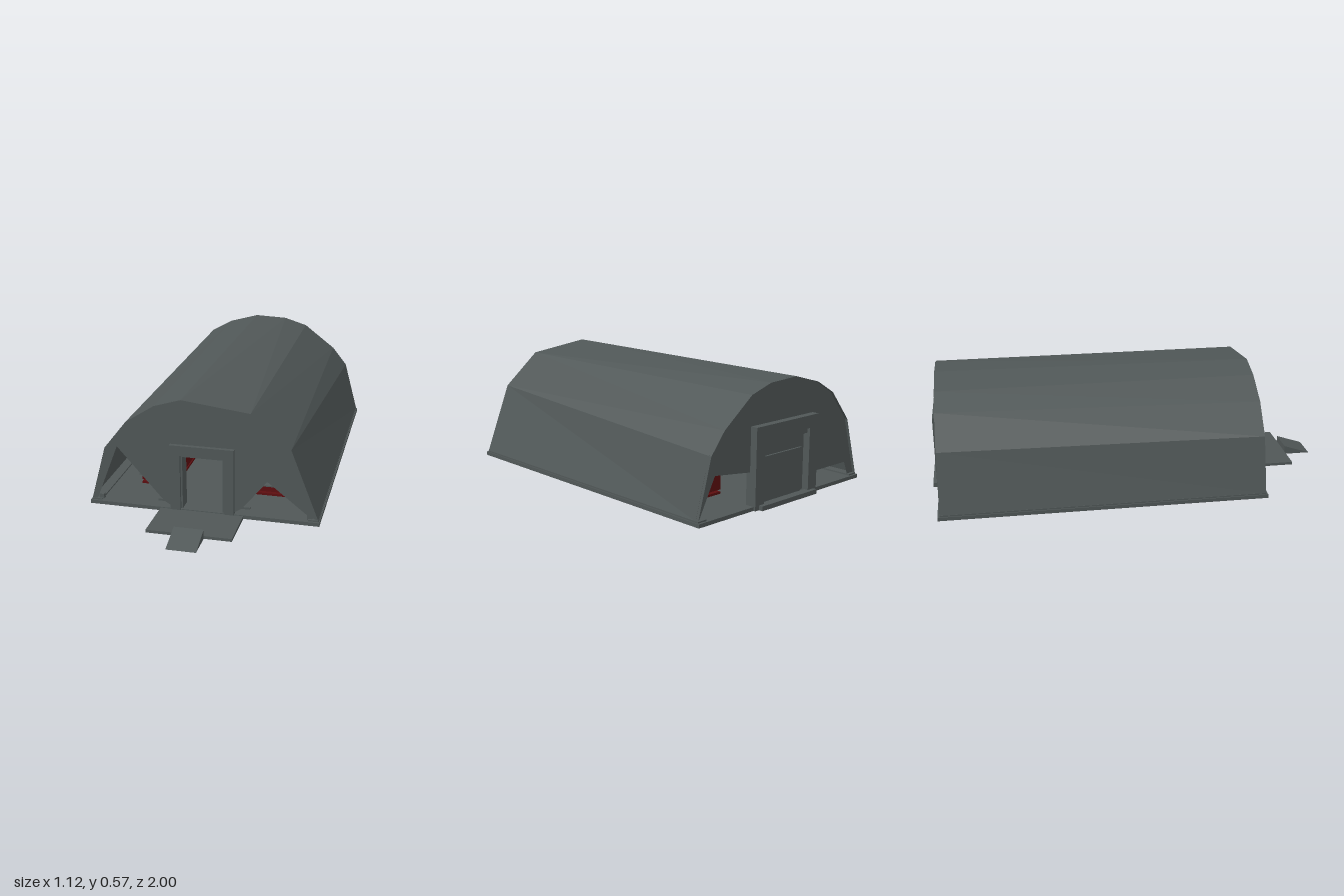
import * as THREE from 'three';

export function createModel() {
  const group = new THREE.Group();
  const mat = (name, color, extra = {}) => {
    const m = new THREE.MeshStandardMaterial({ color, ...extra });
    m.name = name;
    return m;
  };
  const grey = mat('slate grey', 0x505757, { side: THREE.DoubleSide });
  const red = mat('dark red', 0x5c0d0f);

  const add = (name, geometry, material = grey, parent = group) => {
    const mesh = new THREE.Mesh(geometry, material);
    mesh.name = name;
    parent.add(mesh);
    return mesh;
  };
  // box given by its limits on each axis
  const box = (name, x0, x1, y0, y1, z0, z1, material = grey, parent = group) => {
    const mesh = add(name, new THREE.BoxGeometry(x1 - x0, y1 - y0, z1 - z0), material, parent);
    mesh.position.set((x0 + x1) / 2, (y0 + y1) / 2, (z0 + z1) / 2);
    return mesh;
  };
  // flat wall at depth z from an outline
  const wall = (name, points, z) => {
    const shape = new THREE.Shape(points.map(([x, y]) => new THREE.Vector2(x, y)));
    add(name, new THREE.ShapeGeometry(shape)).position.z = z;
  };
  // two posts and a lintel
  const portal = (name, half, height, width, y0, z0, z1, x = 0) => {
    const g = new THREE.Group();
    g.name = name;
    group.add(g);
    for (const s of [-1, 1]) {
      const c = x + s * (half - width / 2);
      box('post', c - width / 2, c + width / 2, y0, height - width, z0, z1, grey, g);
    }
    box('lintel', x - half, x + half, height - width, height, z0, z1, grey, g);
    return g;
  };

  // faceted barrel roof, lofted between slightly different end arches
  const front = [[-.555, .02], [-.48, .295], [-.37, .435], [-.23, .525], [-.1, .565],
    [.23, .525], [.23, .525], [.42, .365], [.42, .365], [.555, .02]];
  const back = [[-.555, .02], [-.47, .31], [-.345, .46], [-.23, .525], [-.07, .57],
    [.105, .563], [.23, .525], [.4, .395], [.48, .295], [.555, .02]];
  const zFront = 0.62, zBack = -0.96;
  const verts = [];
  for (let i = 0; i < front.length - 1; i++) {
    const a = [...front[i], zFront], b = [...front[i + 1], zFront];
    const c = [...back[i + 1], zBack], d = [...back[i], zBack];
    verts.push(...a, ...b, ...c, ...a, ...c, ...d);
  }
  const roof = new THREE.BufferGeometry();
  roof.setAttribute('position', new THREE.Float32BufferAttribute(verts, 3));
  roof.computeVertexNormals();
  add('roofShell', roof);

  // end walls with slanted openings beside the doorways
  wall('frontWall', [
    ...front.filter((p, i) => i === 0 || p[0] !== front[i - 1][0]),
    [.5, .045], [.31, .195], [.19, .045], [.15, .02], [.105, .02], [.105, .29],
    [-.105, .29], [-.105, .02], [-.15, .02], [-.19, .045], [-.42, .305], [-.53, .02],
  ], 0.615);
  wall('backWall', [
    ...back, [.535, .02], [.44, .2], [.2, .17], [.2, .02], [.15, .02], [.15, .31],
    [-.15, .31], [-.15, .02], [-.2, .02], [-.2, .09], [-.48, .09], [-.51, .02],
  ], -0.945);

  // floor slab, kerbs and entrance platform
  box('floor', -.56, .56, 0, .018, -.97, .63);
  for (const s of [-1, 1]) {
    box('sideKerb', s * .53 - .025, s * .53 + .025, .018, .025, -.96, .62);
    box('frontFoot', s * .51 - .012, s * .51 + .012, .02, .045, .59, .61);
    box('frontRail', s * .195 - .03, s * .195 + .03, .036, .046, .58, .6);
  }
  box('platform', -.205, .2, 0, .014, .62, .865);
  box('backSill', -.195, .19, 0, .022, -1, -.96);

  // wedge ramp, its profile drawn along the depth axis
  const wedge = new THREE.Shape([[-1, 0], [-.865, 0], [-.865, .045]].map(p => new THREE.Vector2(...p)));
  const ramp = add('ramp', new THREE.ExtrudeGeometry(wedge, { depth: .14, bevelEnabled: false }));
  ramp.rotation.y = Math.PI / 2;
  ramp.position.x = -.07;

  // front doorway with an inner jamb
  portal('frontDoorFrame', .155, .343, .05, 0, .56, .635);
  portal('frontDoorJamb', .107, .293, .01, .018, .55, .62);

  // back gate with a recessed, stepped door
  portal('backGateFrame', .215, .38, .06, 0, -.98, -.925);
  box('backDoor', -.155, .155, .018, .32, -.945, -.935);
  box('backDoorLowerPanel', -.13, .13, .018, .23, -.955, -.945);
  box('backDoorHeader', -.155, .155, .295, .32, -.965, -.945);

  // red storage units along both sides, with grey racks in front
  for (const s of [-1, 1]) {
    const c = s * .283;
    box('storageUnit', c - .088, c + .088, .045, .25, -.75, .4, red);
    box('storageBase', c - .088, c + .088, .024, .035, -.75, .4, red);
    box('rackShelf', c - .09, c + .09, .088, .094, .4, .44);
    const x = s * .322;
    portal('rackFrame', .045, .25, .008, .11, .41, .44, x);
    box('rackSill', x - .045, x + .045, .11, .118, .41, .44);
  }
  return group;
}
